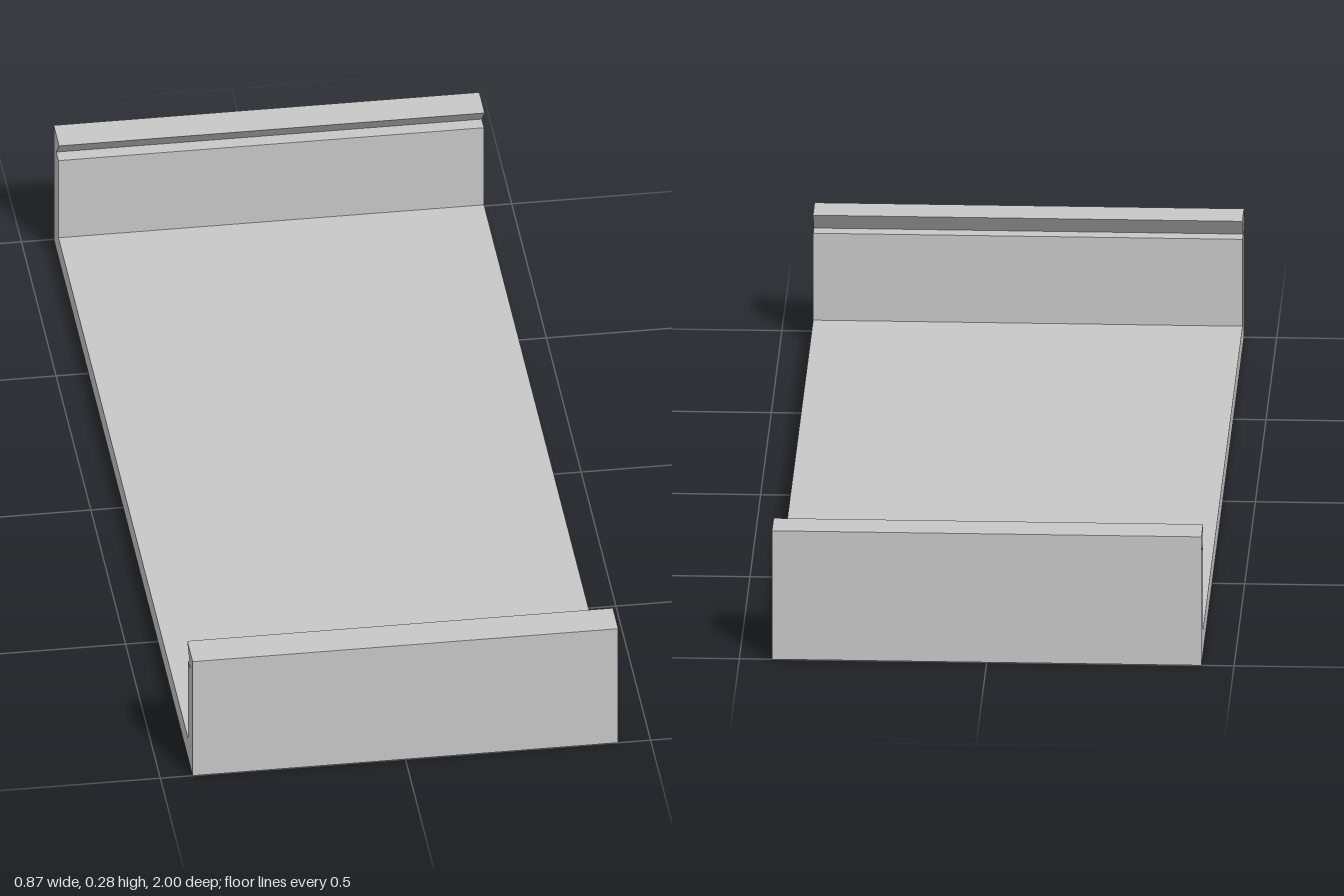
import * as THREE from 'three';

const WIDTH = 0.868;

export function createModel() {
  const group = new THREE.Group();
  group.name = 'clipTray';
  const grey = new THREE.MeshStandardMaterial({ color: 0xc7c7c7 });
  grey.name = 'lightGrey';

  // One end of the profile as (z, y): outer wall, hooked lip, undercut, inner wall, floor
  const end = [
    [1, 0], [1, 0.275], [0.923, 0.275], [0.965, 0.233], [0.933, 0.233], [0.933, 0.047],
  ];
  const mirrored = end.map(([z, y]) => [-z, y]).reverse();
  const profile = new THREE.Shape([...end, ...mirrored].map(([z, y]) => new THREE.Vector2(z, y)));

  // Constant section swept across the width
  const geometry = new THREE.ExtrudeGeometry(profile, { depth: WIDTH, bevelEnabled: false });
  geometry.translate(0, 0, -WIDTH / 2);
  geometry.rotateY(-Math.PI / 2);

  const channel = new THREE.Mesh(geometry, grey);
  channel.name = 'channelWithHookedEnds';
  group.add(channel);
  return group;
}
